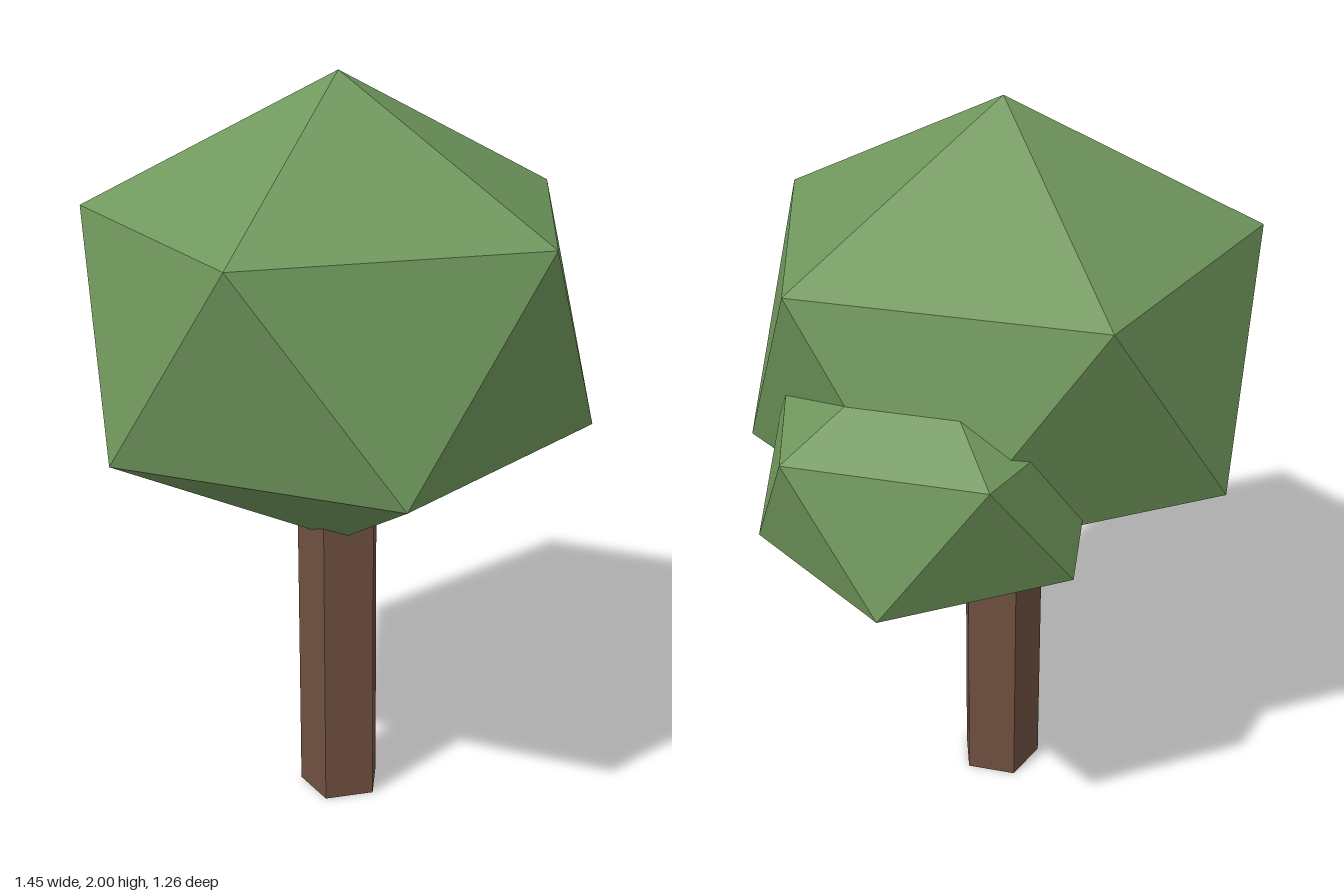
import * as THREE from 'three';

const leafGreen = new THREE.MeshStandardMaterial({ color: 0x70975c, flatShading: true });
leafGreen.name = 'leafGreen';
const barkBrown = new THREE.MeshStandardMaterial({ color: 0x6f5040, flatShading: true });
barkBrown.name = 'barkBrown';

// Icosahedron standing on one vertex, with an upper-ring vertex toward +x
function foliage(name, radius, height, x, y, z) {
  const geometry = new THREE.IcosahedronGeometry(1, 0);
  geometry.rotateX(-Math.atan((1 + Math.sqrt(5)) / 2));
  geometry.rotateY(Math.PI / 2);
  geometry.scale(radius, height, radius);
  const mesh = new THREE.Mesh(geometry, leafGreen);
  mesh.name = name;
  mesh.position.set(x, y, z);
  return mesh;
}

export function createModel() {
  const tree = new THREE.Group();
  tree.name = 'tree';

  // Five-sided trunk, its top hidden inside the crown
  const trunkHeight = 1.0;
  const trunk = new THREE.Mesh(
    new THREE.CylinderGeometry(0.115, 0.115, trunkHeight, 5, 1, false, Math.PI / 2),
    barkBrown
  );
  trunk.name = 'trunk';
  trunk.position.set(-0.07, trunkHeight / 2, 0);
  tree.add(trunk);

  // Main crown and the smaller clump behind its left side
  tree.add(foliage('mainCrown', 0.738, 0.626, -0.07, 1.374, 0));
  tree.add(foliage('sideCrown', 0.472, 0.375, 0.302, 1.162, -0.16));

  return tree;
}
